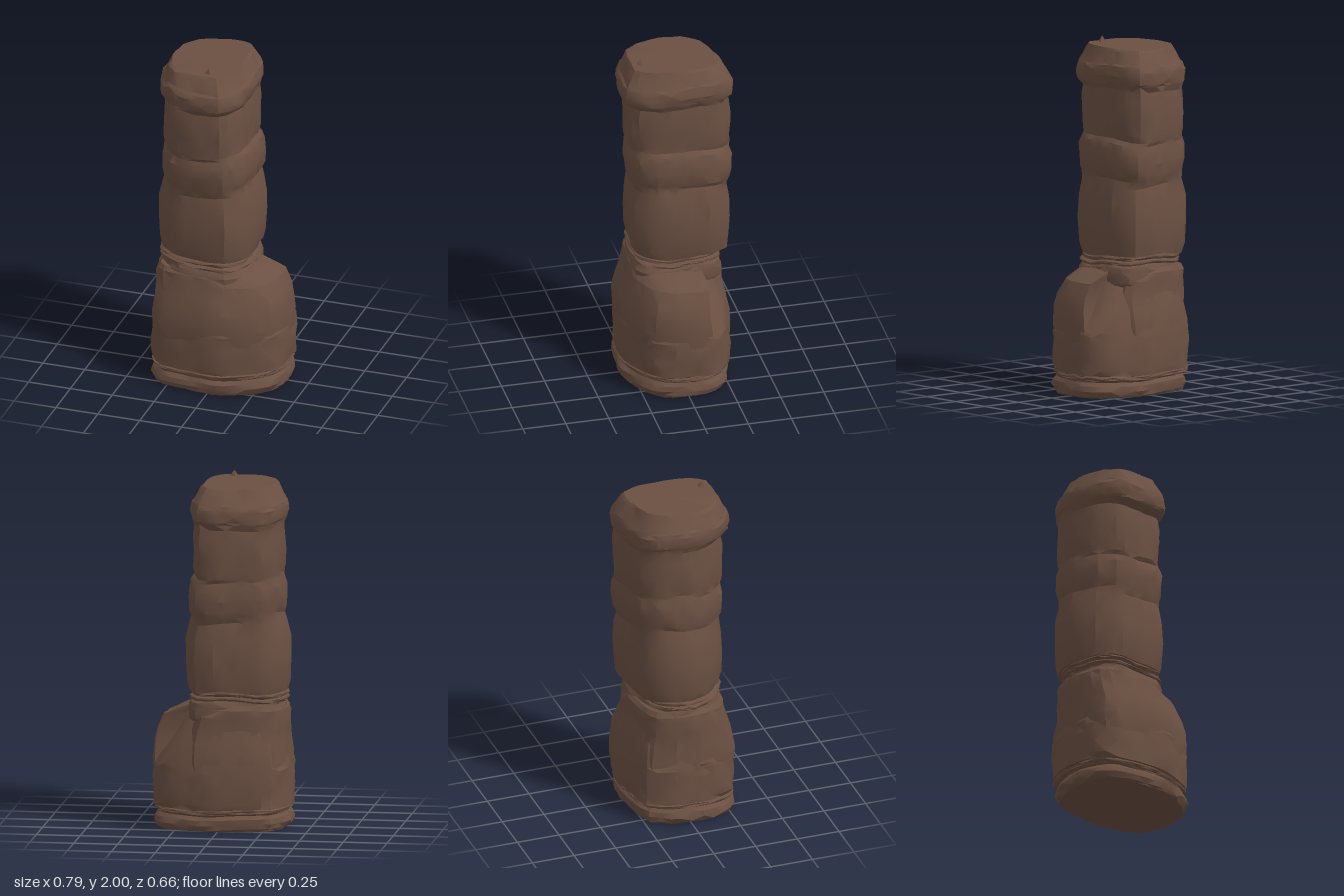
import * as THREE from 'three';
import { toCreasedNormals } from 'three/addons/utils/BufferGeometryUtils.js';

const SIDES = 36;

// Closed plan outline [x, z], resampled and scaled to fill -1..1 both ways
function planOutline(points) {
  const curve = new THREE.CatmullRomCurve3(
    points.map(([x, z]) => new THREE.Vector3(x, 0, z)), true, 'catmullrom', 0.3);
  const ring = curve.getSpacedPoints(SIDES).slice(0, SIDES);
  const box = new THREE.Box3().setFromPoints(ring);
  const mid = box.getCenter(new THREE.Vector3());
  const half = box.getSize(new THREE.Vector3()).multiplyScalar(0.5);
  return ring.map(p => [(p.x - mid.x) / half.x, (p.z - mid.z) / half.z]);
}

// Turns layers [bottom, top, xMin, xMax, zMin, zMax, seamDepth] into bulging rows
function bulgingRows(layers) {
  const row = ([y0, y1, x0, x1, z0, z1, depth], t) => {
    const inset = depth * Math.abs(2 * t - 0.9) ** 3;
    return [y0 + (y1 - y0) * t, x0 + inset, x1 - inset, z0 + inset, z1 - inset];
  };
  const rows = layers.flatMap(layer => [0, 0.12, 0.4, 0.7, 0.9].map(t => row(layer, t)));
  rows.push(row(layers[layers.length - 1], 1));
  return rows;
}

// Stack of uneven rings; each row is [y, xMin, xMax, zMin, zMax]
function rockLoft(outline, rows, seed, wave) {
  let s = seed;
  const rand = () => ((s = (s * 16807) % 2147483647) / 2147483647) * 2 - 1;
  const pos = [], index = [];
  const last = rows.length - 1;
  rows.forEach(([y, x0, x1, z0, z1], r) => {
    const edge = r === 0 || r === last;
    outline.forEach(([u, v], i) => {
      const a = i / SIDES * Math.PI * 2;
      const k = 0.998 + rand() * 0.02;
      const dy = edge ? 0 : wave * (Math.sin(a * 2 + y * 5) + 0.5 * Math.sin(a * 5 + seed));
      pos.push((x0 + x1) / 2 + u * k * (x1 - x0) / 2, Math.max(0, y + dy),
        (z0 + z1) / 2 + v * k * (z1 - z0) / 2);
    });
  });
  for (let r = 0; r < last; r++) {
    for (let i = 0; i < SIDES; i++) {
      const a = r * SIDES + i, b = r * SIDES + (i + 1) % SIDES;
      const c = a + SIDES, d = b + SIDES;
      if ((i + r) % 2) index.push(a, c, b, b, c, d);
      else index.push(a, c, d, a, d, b);
    }
  }
  // End caps
  [rows[0], rows[last]].forEach(([y, x0, x1, z0, z1], top) => {
    const centre = pos.length / 3, base = top * last * SIDES;
    pos.push((x0 + x1) / 2, y, (z0 + z1) / 2);
    for (let i = 0; i < SIDES; i++) {
      const a = base + i, b = base + (i + 1) % SIDES;
      if (top) index.push(centre, b, a);
      else index.push(centre, a, b);
    }
  });
  const geo = new THREE.BufferGeometry();
  geo.setAttribute('position', new THREE.Float32BufferAttribute(pos, 3));
  geo.setIndex(index);
  return toCreasedNormals(geo, 0.45);
}

export function createModel() {
  const group = new THREE.Group();
  group.name = 'rockPillar';
  const rock = new THREE.MeshStandardMaterial({ color: 0x6b5042 });
  rock.name = 'brown rock';
  const add = (name, geo) => {
    const mesh = new THREE.Mesh(geo, rock);
    mesh.name = name;
    group.add(mesh);
    return mesh;
  };

  // Broad foot with a crack near the ground; its sloping top shows as a ledge at the back
  const footPlan = planOutline([
    [0.39, -0.05], [0.38, 0.1], [0.31, 0.22], [0.06, 0.335], [-0.27, 0.3], [-0.35, 0.25],
    [-0.395, 0.13], [-0.39, -0.09], [-0.32, -0.24], [-0.2, -0.29], [0.05, -0.315],
    [0.3, -0.25], [0.38, -0.15]]);
  add('foot', rockLoft(footPlan, [
    ...bulgingRows([
      [0, 0.1, -0.387, 0.387, -0.295, 0.333, 0.03],
      [0.1, 0.13, -0.385, 0.38, -0.3, 0.325, 0.012],
      [0.13, 0.37, -0.391, 0.39, -0.312, 0.329, 0.006]]),
    [0.50, -0.35, 0.29, -0.285, 0.29],
    [0.66, -0.33, 0.18, -0.23, 0.22]], 17, 0.005));

  // Upper foot with the shoulder on the left, cut away at the back left corner
  const shoulderPlan = planOutline([
    [0.385, -0.14], [0.39, 0], [0.38, 0.1], [0.31, 0.22], [0.06, 0.325], [-0.27, 0.3],
    [-0.35, 0.25], [-0.39, 0.13], [-0.385, -0.09], [-0.32, -0.23], [-0.2, -0.28],
    [0.05, -0.305], [0.16, -0.28], [0.19, -0.11]]);
  add('shoulder', rockLoft(shoulderPlan, [
    [0.30, -0.378, 0.385, -0.30, 0.32],
    [0.40, -0.38, 0.39, -0.302, 0.325],
    [0.50, -0.367, 0.388, -0.282, 0.313],
    [0.57, -0.37, 0.37, -0.265, 0.285],
    [0.65, -0.37, 0.33, -0.268, 0.262],
    [0.69, -0.362, 0.24, -0.26, 0.25],
    [0.715, -0.345, 0.17, -0.24, 0.23]], 29, 0.004));

  // Column of stacked, bulging layers, tapering to a flat top
  const columnPlan = planOutline([
    [0.11, 0], [0.095, 0.13], [0.04, 0.225], [-0.08, 0.235], [-0.2, 0.22], [-0.28, 0.13],
    [-0.31, 0], [-0.285, -0.13], [-0.22, -0.205], [-0.12, -0.235], [0, -0.26],
    [0.075, -0.235], [0.11, -0.14]]);
  add('column', rockLoft(columnPlan, [
    ...bulgingRows([
      [0.62, 0.735, -0.362, 0.19, -0.258, 0.248, 0.015],
      [0.735, 0.762, -0.37, 0.18, -0.252, 0.242, 0.018],
      [0.762, 0.792, -0.372, 0.17, -0.255, 0.242, 0.02],
      [0.792, 1.235, -0.383, 0.197, -0.315, 0.257, 0.028],
      [1.235, 1.455, -0.362, 0.182, -0.324, 0.262, 0.022],
      [1.455, 1.765, -0.352, 0.155, -0.322, 0.262, 0.012],
      [1.765, 1.88, -0.367, 0.172, -0.334, 0.302, 0.016]]),
    [1.945, -0.315, 0.12, -0.275, 0.25],
    [1.965, -0.30, 0.105, -0.26, 0.235]], 41, 0.009));

  // Small chip standing on the flat top
  const chip = add('topChip', toCreasedNormals(new THREE.ConeGeometry(0.035, 0.05, 4), 0.3));
  chip.position.set(-0.03, 1.975, 0.185);
  chip.rotation.y = 0.4;

  return group;
}
